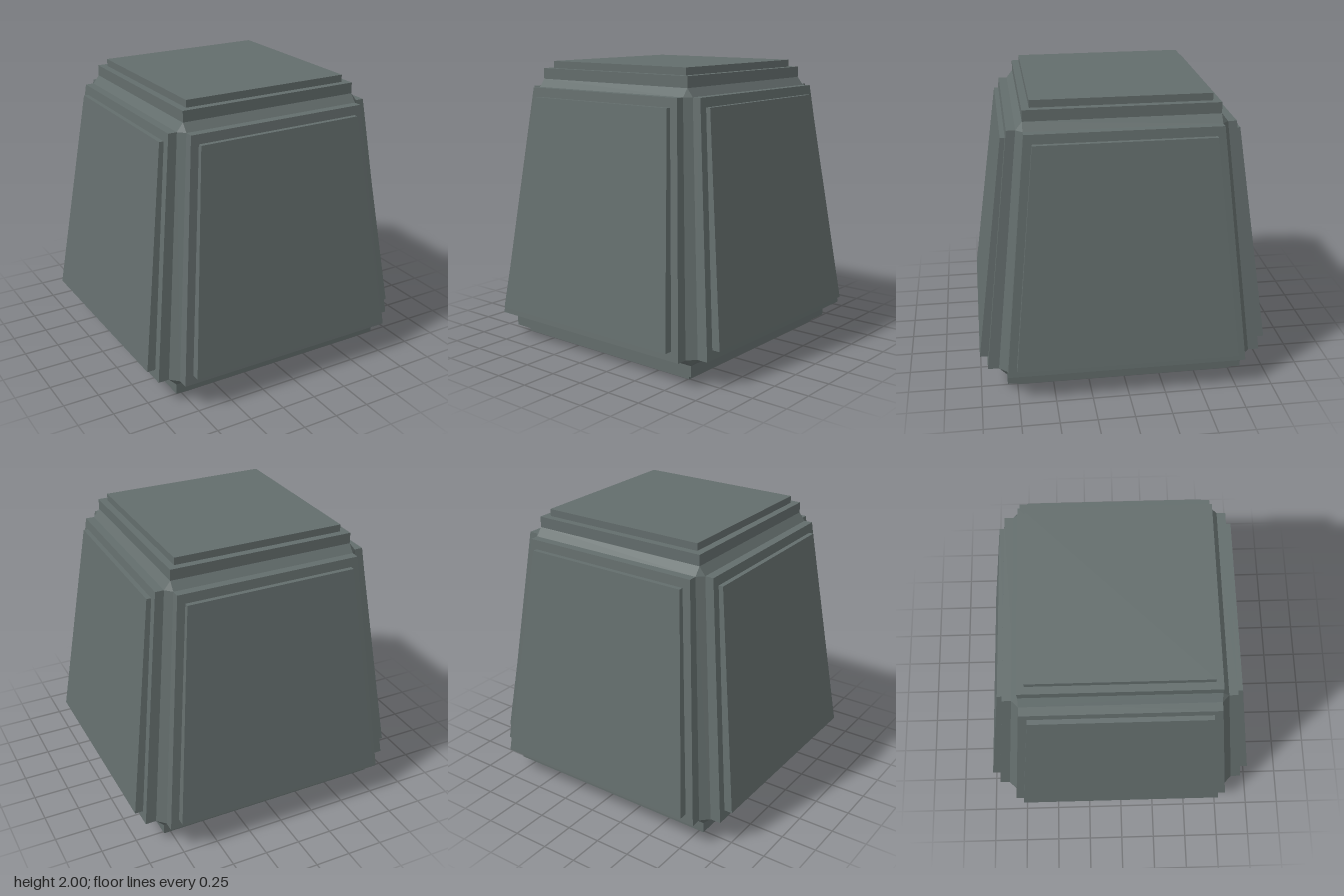
import * as THREE from 'three';
import { ConvexGeometry } from 'three/addons/geometries/ConvexGeometry.js';

const TOP_SCALE = 0.793; // width of the upper half relative to the lower half
const CORE = 0.875, STEP = 0.82, PANEL = 0.757;

// Narrow every corner above the middle, then stand the block on y = 0
function taper(geometry) {
  const p = geometry.attributes.position;
  for (let i = 0; i < p.count; i++) {
    const s = p.getY(i) > 0 ? TOP_SCALE : 1;
    p.setXYZ(i, p.getX(i) * s, p.getY(i) + 1, p.getZ(i) * s);
  }
  geometry.computeVertexNormals();
  return geometry;
}

// Square plate on one side of the block, from depth `inner` to `outer`
function plate(axis, sign, half, inner, outer) {
  const size = [half * 2, half * 2, half * 2];
  const centre = [0, 0, 0];
  size[axis] = outer - inner;
  centre[axis] = sign * (inner + outer) / 2;
  return taper(new THREE.BoxGeometry(...size).translate(...centre));
}

export function createModel() {
  const group = new THREE.Group();
  group.name = 'taperedBlock';
  const stone = new THREE.MeshStandardMaterial({ color: 0x636d6c });
  stone.name = 'greyStone';

  const add = (name, geometry) => {
    const mesh = new THREE.Mesh(geometry, stone);
    mesh.name = name;
    group.add(mesh);
  };

  // Core with chamfered edges and triangular corners
  const points = [];
  for (const x of [-1, 1]) for (const y of [-1, 1]) for (const z of [-1, 1]) {
    for (let axis = 0; axis < 3; axis++) {
      const c = [x * STEP, y * STEP, z * STEP];
      c[axis] *= CORE / STEP;
      points.push(new THREE.Vector3(...c));
    }
  }
  add('chamferedCore', taper(new ConvexGeometry(points)));

  // Two stacked plates on each of the six sides
  const sides = [['right', 'left'], ['bottom', 'top'], ['back', 'front']];
  sides.forEach((names, axis) => names.forEach((name, i) => {
    const sign = i ? 1 : -1;
    add(name + 'Step', plate(axis, sign, STEP, 0.84, 0.95));
    add(name + 'Panel', plate(axis, sign, PANEL, 0.92, 1));
  }));
  return group;
}
